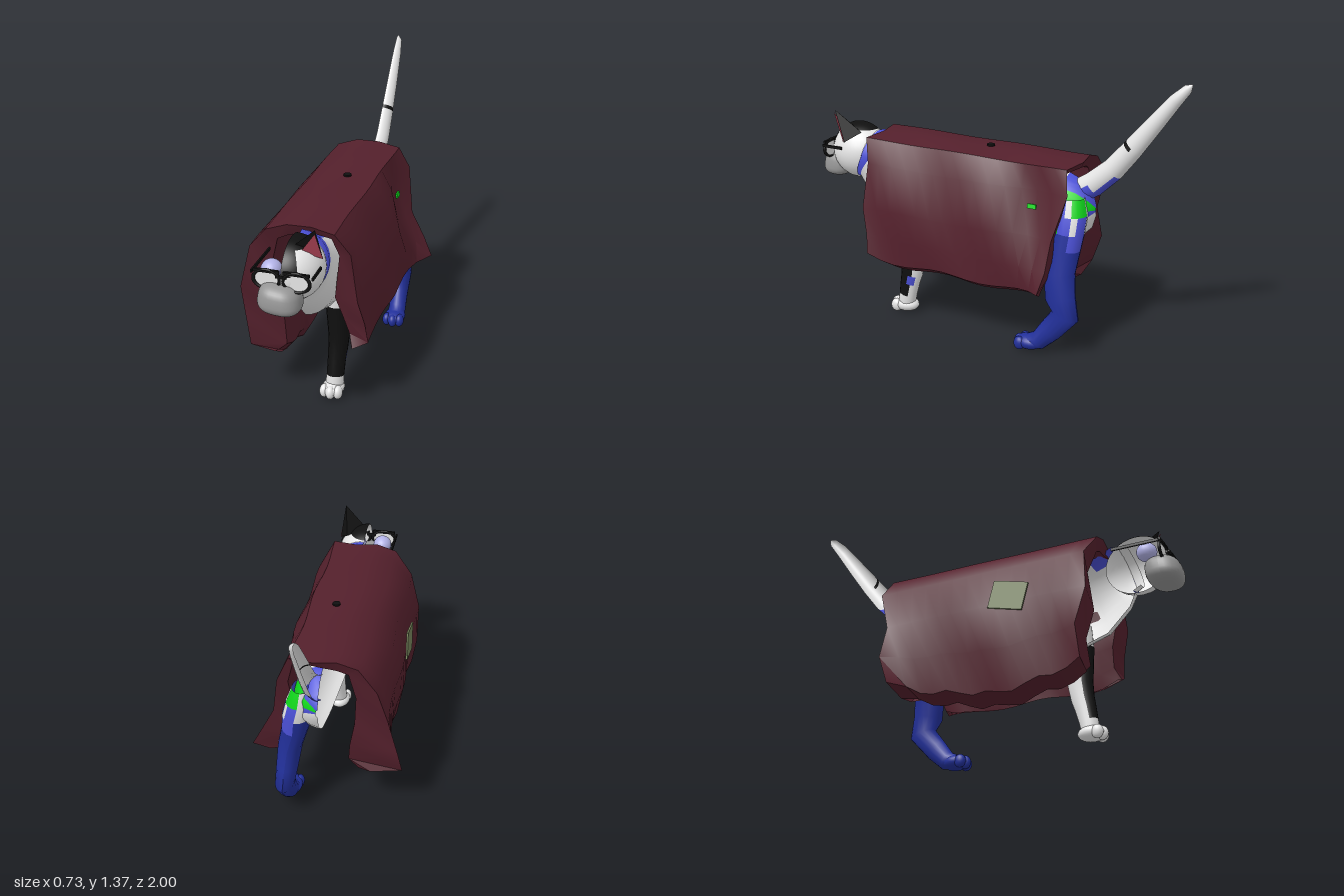
import * as THREE from 'three';
import { toCreasedNormals } from 'three/addons/utils/BufferGeometryUtils.js';

const mat = (name, color) =>
  Object.assign(new THREE.MeshStandardMaterial({ color, side: THREE.DoubleSide }), { name });

export function createModel() {
  const model = new THREE.Group();
  const white = mat('white fur', 0xe6e6e6), black = mat('black', 0x101010), grey = mat('grey muzzle', 0x959595);
  const violet = mat('violet', 0x4b50d6), navy = mat('navy', 0x22309a), green = mat('green', 0x10d81c);
  const maroon = mat('maroon cloth', 0x54202c), olive = mat('olive patch', 0x76825a);
  const pink = mat('pink ear', 0xb8485c), lavender = mat('lavender eye', 0xb2b2e6);
  const X0 = 0.02; // centre plane of the half body

  const add = (name, geo, m, pos = [0, 0, 0], scale = [1, 1, 1]) => {
    const mesh = new THREE.Mesh(geo, m);
    mesh.name = name;
    mesh.position.set(...pos);
    mesh.scale.set(...scale);
    model.add(mesh);
    return mesh;
  };

  // Grid of points -> geometry, with a material index for each cell
  const gridGeo = (rows, pick = () => 0) => {
    const n = rows[0].length, cells = {};
    for (let i = 0; i < rows.length - 1; i++) for (let j = 0; j < n - 1; j++) {
      const a = i * n + j, b = a + n;
      (cells[pick(i, j)] ??= []).push(a, a + 1, b, b, a + 1, b + 1);
    }
    const g = new THREE.BufferGeometry(), index = [];
    for (const k in cells) {
      g.addGroup(index.length, cells[k].length, +k);
      index.push(...cells[k]);
    }
    g.setAttribute('position', new THREE.Float32BufferAttribute(rows.flat(2), 3));
    g.setIndex(index);
    g.computeVertexNormals();
    return g;
  };

  // Loft through stations [x, y, z, side radius, other radius]; half keeps the +x side only
  const N = 16;
  const loft = (st, half, pick) => gridGeo(st.map(([x, y, z, rx, rn], i) => {
    const p = st[Math.max(0, i - 1)], q = st[Math.min(st.length - 1, i + 1)];
    const len = Math.hypot(q[1] - p[1], q[2] - p[2]);
    const ty = (q[1] - p[1]) / len, tz = (q[2] - p[2]) / len;
    return Array.from({ length: N + 1 }, (_, j) => {
      const a = (half ? Math.PI : 2 * Math.PI) * j / N - Math.PI / 2;
      const s = Math.sin(a) * rn;
      return [x + Math.cos(a) * rx, y + s * tz, z - s * ty];
    });
  }), pick);

  // Half body and neck, with a painted rump and collar
  const furs = [white, violet, green, black];
  add('body', loft([
    [-.55, .70, .01, .02], [-.53, .70, .09, .09], [-.48, .70, .12, .14], [-.42, .70, .14, .17], [-.31, .69, .145, .185],
    [-.2, .68, .15, .2], [.1, .66, .15, .22], [.4, .66, .155, .235], [.53, .69, .15, .215], [.62, .745, .135, .175],
    [.668, .79, .14, .145], [.7, .805, .147, .147], [.705, .807, .135, .13], [.75, .82, .12, .12],
  ].map(([z, y, rx, rn]) => [X0, y, z, rx, rn]), true, (i, j) => {
    if (i === 10 || i === 11 || (i === 9 && j > 12)) return 1;
    if (i < 3) return j > 11 ? 1 : j > 8 ? 2 : j > 6 ? 1 : 0;
    return (i === 3 && j > 2 && j < 8) || (i === 4 && j > 3 && j < 7) ? 2 : 0;
  }), furs);

  // Half tail with violet underside at the root and a small dark mark
  add('tail', loft([
    [-.42, .76, .05, .06], [-.53, .83, .055, .06], [-.63, .92, .053, .055], [-.72, 1.03, .048, .05], [-.732, 1.046, .047, .049],
    [-.82, 1.16, .042, .042], [-.92, 1.29, .034, .032], [-.975, 1.35, .024, .022], [-.995, 1.37, .003, .003],
  ].map(([z, y, rx, rn]) => [X0, y, z, rx, rn]), true, (i, j) => {
    if (i === 3) return j < 8 ? 3 : 0;
    return (i === 0 && j > 6) || (i === 1 && j > 10) ? 1 : 0;
  }), furs);

  // Front leg: black in front, white behind
  add('frontLeg', loft([
    [.1, .58, .425, .05, .07], [.12, .48, .425, .056, .07], [.125, .3, .418, .05, .064], [.122, .22, .43, .046, .058],
    [.12, .17, .443, .043, .053], [.118, .1, .458, .042, .047], [.117, .06, .465, .044, .045], [.115, .02, .47, .04, .04],
  ], false, (i, j) => {
    if (i === 3 && j > 1 && j < 4) return 1;
    return i > 0 && i < 5 && j > 2 && j < 11 ? 3 : 0;
  }), furs);

  // Hind leg, splashed with violet, green and white at the hip
  add('hindLeg', loft([
    [.11, .78, -.455, .05, .07], [.12, .7, -.46, .07, .085], [.14, .62, -.46, .07, .08], [.15, .54, -.45, .066, .077],
    [.18, .42, -.435, .06, .08], [.195, .29, -.45, .054, .078], [.203, .21, -.48, .048, .07], [.208, .12, -.405, .043, .058],
    [.212, .055, -.345, .045, .048], [.214, .04, -.29, .044, .037],
  ], false, (i, j) => {
    if (i === 0) return j < 3 ? 2 : j === 3 ? 3 : j > 9 ? 3 : 1;
    if (i === 1) return j < 2 ? 1 : j === 2 ? 3 : j > 4 && j < 8 ? 2 : j > 10 ? 3 : 1;
    if (i === 2) return j < 3 ? 1 : 0;
    return i === 3 && j === 6 ? 2 : 0;
  }), [navy, violet, green, white]);

  // Paws with toes
  const ball = new THREE.SphereGeometry(1, 20, 14);
  const paw = (name, m, x, z) => {
    add(name, ball, m, [x, .038, z], [.054, .038, .072]);
    for (const t of [-1, 0, 1])
      add(name + 'Toe', ball, m, [x + t * .034, .034, z + .05 - Math.abs(t) * .012], [.023, .034, .03]);
  };
  paw('frontPaw', white, .113, .475);
  paw('hindPaw', navy, .213, -.295);

  // Half head with black forehead
  const headShell = (p0, pl, t0, tl) => new THREE.SphereGeometry(1, 24, 16, p0, pl, t0, tl);
  add('head', headShell(Math.PI / 2, Math.PI, 0, Math.PI), white, [X0, .815, .77], [.15, .148, .16]);
  const cap = [.152, .15, .162];
  add('blackCrown', headShell(Math.PI / 2, Math.PI, 0, .62), black, [X0, .815, .77], cap);
  add('blackForehead', headShell(Math.PI / 2, .5, .6, .8), black, [X0, .815, .77], cap);

  // Ear: black outer faces and pink inner face
  const tri = (...p) => {
    const g = new THREE.BufferGeometry();
    g.setAttribute('position', new THREE.Float32BufferAttribute(p.flat(), 3));
    g.computeVertexNormals();
    return g;
  };
  const A = [.04, .94, .82], B = [.168, .885, .79], C = [.12, .935, .715], T = [.152, 1.045, .85];
  add('earOuter', tri(A, B, T, B, C, T, C, A, T), black);
  add('earInner', tri([.08, .925, .83], [.17, .885, .795], [.153, 1.03, .856]), pink);

  // Boxy rounded muzzle
  const muzzle = new THREE.SphereGeometry(1, 28, 20), mp = muzzle.attributes.position;
  const sq = (v, e) => Math.sign(v) * Math.abs(v) ** e;
  for (let i = 0; i < mp.count; i++) {
    const x = sq(mp.getX(i), .75), y = sq(mp.getY(i), .7);
    mp.setXYZ(i, x * (1 - .08 * y), y - .12 * x, sq(mp.getZ(i), .85) - .12 * y);
  }
  muzzle.computeVertexNormals();
  add('muzzle', muzzle, grey, [.012, .735, .908], [.098, .07, .088]);

  // Eyes and glasses
  add('eye', ball, lavender, [-.05, .83, .845], [.048, .046, .05]);
  add('eye', ball, lavender, [.085, .825, .85], [.045, .042, .045]);
  for (const x of [-.045, .092]) {
    add('lensFrame', new THREE.TorusGeometry(.061, .008, 8, 28), black, [x, .82, .925], [1, .74, 1]);
    add('lens', new THREE.CircleGeometry(.058, 28), white, [x, .82, .922], [1, .74, 1]);
    add('brow', new THREE.BoxGeometry(.12, .014, .012), black, [x, .86, .925]);
  }
  add('bridge', new THREE.BoxGeometry(.05, .014, .012), black, [.023, .84, .925]);
  for (const [x, back] of [[-.115, .69], [.165, .81]])
    add('temple', new THREE.BoxGeometry(.008, .014, .925 - back), black, [x, .848, (.925 + back) / 2]);

  // Draped blanket: outer and inner cloth joined at the hems and at both ends
  const outer = [[-.13, .14], [-.24, .17], [-.275, .38], [-.285, .6], [-.25, .8], [-.16, .91], [-.05, .95],
    [.06, .945], [.17, .93], [.235, .82], [.28, .6], [.29, .45], [.285, .33], [.22, .29]];
  const inner = [[-.13, .14], [-.09, .2], [-.1, .38], [-.12, .55], [-.145, .74], [-.11, .86], [-.05, .89],
    [.04, .91], [.15, .9], [.175, .8], [.167, .6], [.185, .48], [.205, .36], [.22, .29]];
  const R = 14, rows = [];
  const clothRow = (profile, r, inset) => profile.map(([x, y], j) => {
    const v = r / R, end = Math.abs(2 * v - 1) ** 8, low = Math.max(0, 1 - y / .55);
    const hem = x < 0 ? .26 * Math.abs(v - .57) + .02 * Math.sin(r * 1.9) : .025 * Math.sin(v * 13) + .08 * end;
    const rear = -.36 - .12 * Math.min(1, y / .9), front = .55 + .08 * Math.min(1, y / .9);
    const wob = Math.sin(r * .9 + j * 1.7) * .006;
    const dent = x > .2 && y > .5 ? .045 * Math.exp(-(((v - .15) / .13) ** 2)) : 0;
    const flare = 1 + end * low * (inset ? .1 : v < .5 ? .75 : .2);
    return [x * flare + wob - dent, y + hem * low + wob * .7,
      rear + inset + (front - rear - 2 * inset) * v + end * .02 * Math.sin(j * 2.6)];
  });
  for (let r = 0; r <= R; r++) rows.push(clothRow(outer, r, 0));
  for (let r = R; r >= 0; r--) rows.push(clothRow(inner, r, .02));
  rows.push(rows[0]);
  add('blanket', toCreasedNormals(gridGeo(rows), .6), maroon);

  // Blanket patch and worn spots
  const patch = add('patch', new THREE.BoxGeometry(.009, .14, .18), olive, [-.294, .63, .235]);
  patch.rotation.set(.25, 0, -.03);
  add('topHole', new THREE.CylinderGeometry(.02, .02, .008, 10), black, [.04, .952, .01]);
  const sideSpot = add('sideHole', new THREE.BoxGeometry(.009, .022, .045), green, [.214, .74, -.3]);
  sideSpot.rotation.z = .2;

  return model;
}
